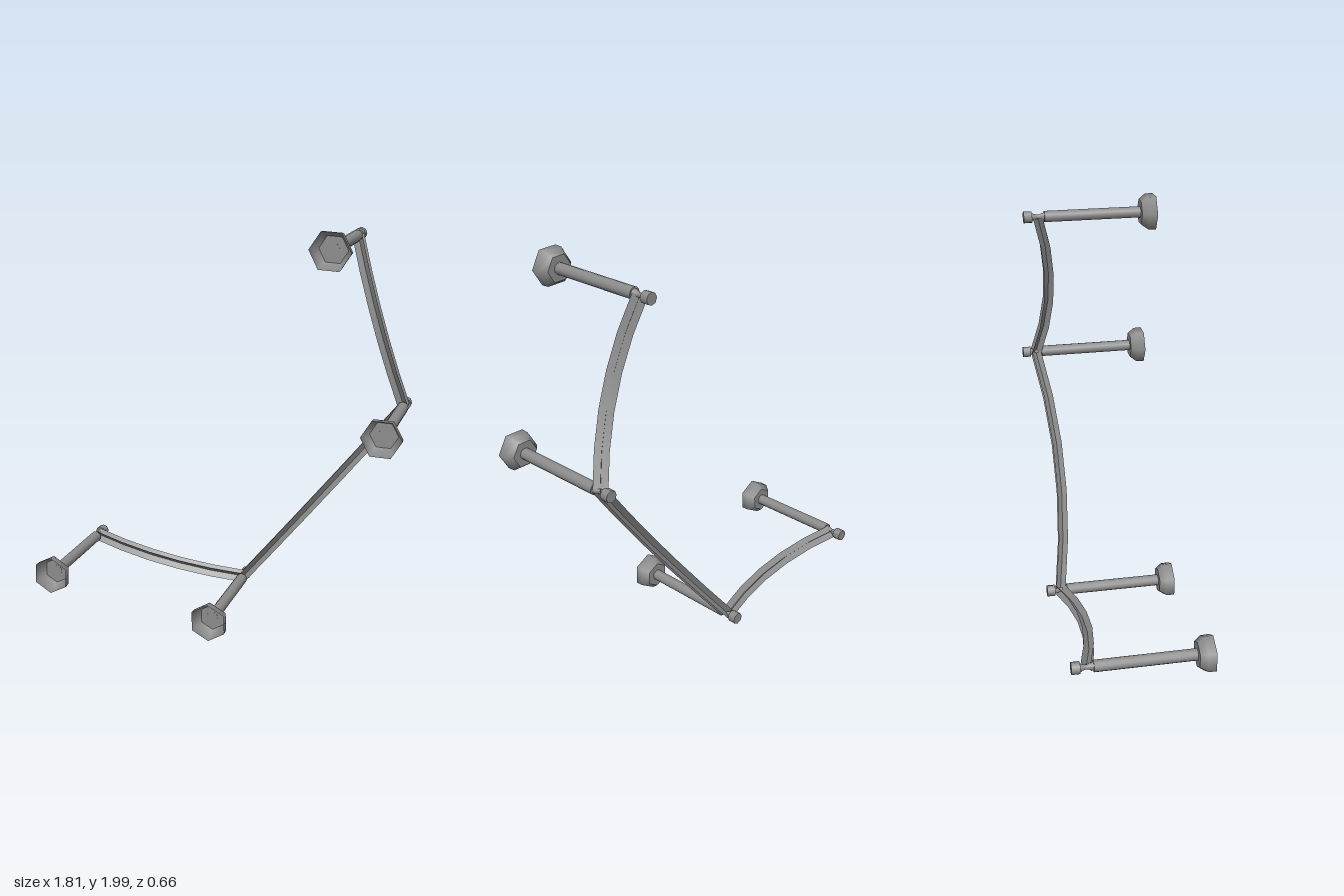
import * as THREE from 'three';

const grey = new THREE.MeshStandardMaterial({ color: 0x8c8c8c, side: THREE.DoubleSide });
grey.name = 'grey';

function part(name, geometry) {
  const mesh = new THREE.Mesh(geometry, grey);
  mesh.name = name;
  return mesh;
}

// Surface spun about the z axis from a profile of [radius, z] points
function spin(name, profile, sides) {
  const pts = profile.map(([r, z]) => new THREE.Vector2(r, z));
  return part(name, new THREE.LatheGeometry(pts, sides).rotateX(Math.PI / 2));
}

// Closed cylinder along z
function rod(name, r, z0, z1, sides) {
  const geo = new THREE.CylinderGeometry(r, r, z1 - z0, sides);
  return part(name, geo.rotateX(Math.PI / 2).translate(0, 0, (z0 + z1) / 2));
}

// Hollow six-sided foot, open to the front
function makeFoot(turn) {
  const foot = new THREE.Group();
  foot.name = 'foot';
  foot.rotation.z = turn;
  foot.add(spin('footWall', [[0.066, 0.255], [0.092, 0.288], [0.094, 0.328]], 6));
  foot.add(part('footFloor', new THREE.CircleGeometry(0.066, 6, Math.PI / 2).translate(0, 0, 0.255)));
  return foot;
}

// Rail of two crossed strips (an X in section), bowed forward between two posts
function makeRail([ax, ay], [bx, by]) {
  const rail = new THREE.Group();
  rail.name = 'rail';
  const steps = 5, half = 0.024;
  const len = Math.hypot(bx - ax, by - ay);
  const nx = -(by - ay) / len, ny = (bx - ax) / len;
  for (const slant of [-1, 1]) {
    const pos = [], index = [];
    for (let s = 0; s <= steps; s++) {
      const t = s / steps;
      const x = ax + (bx - ax) * t, y = ay + (by - ay) * t;
      const z = -0.258 + 0.25 * t * (1 - t);
      for (const e of [-half, half]) pos.push(x + nx * e, y + ny * e, z + slant * e);
      if (s < steps) {
        const p = s * 2;
        index.push(p, p + 2, p + 1, p + 1, p + 2, p + 3);
      }
    }
    const geo = new THREE.BufferGeometry();
    geo.setAttribute('position', new THREE.Float32BufferAttribute(pos, 3));
    geo.setIndex(index);
    geo.computeVertexNormals();
    rail.add(part('railStrip', geo));
  }
  return rail;
}

export function createModel() {
  const model = new THREE.Group();
  model.name = 'postsAndRails';

  // Post centres (x, y) and the turn of each foot
  const posts = [
    [-0.825, 0.235, -0.04],
    [0.005, 0.1, 0.02],
    [0.812, 1.105, 0.5],
    [0.562, 1.917, 0.47],
  ];

  posts.forEach(([x, y, turn]) => {
    const post = new THREE.Group();
    post.name = 'post';
    post.position.set(x, y, 0);
    post.add(makeFoot(turn));
    post.add(rod('shaft', 0.028, -0.225, 0.256, 12));
    post.add(spin('neck', [[0.02, -0.29], [0.012, -0.265], [0.012, -0.25], [0.022, -0.224]], 8));
    post.add(rod('cap', 0.029, -0.328, -0.287, 8));
    model.add(post);
  });

  for (let i = 0; i < 3; i++) model.add(makeRail(posts[i], posts[i + 1]));
  return model;
}
